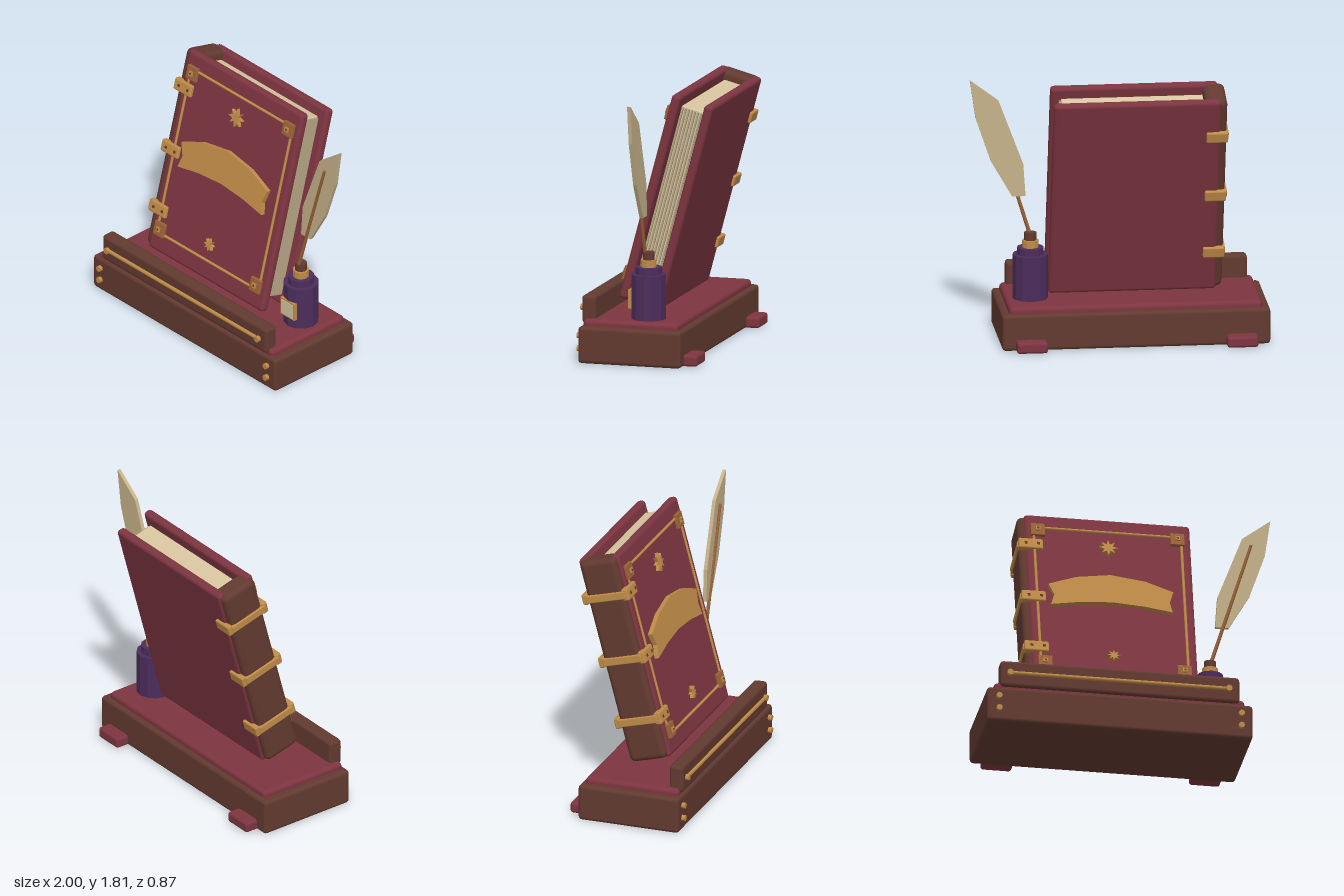
import * as THREE from 'three';
import { RoundedBoxGeometry } from 'three/addons/geometries/RoundedBoxGeometry.js';

export function createModel() {
  const mat = (name, color, opts = {}) => {
    const m = new THREE.MeshStandardMaterial({ color, ...opts });
    m.name = name;
    return m;
  };
  const red = mat('burgundy leather', 0x7d3540);
  const brown = mat('dark brown', 0x623a30);
  const gold = mat('gold', 0xc08c48);
  const bronze = mat('bronze', 0x9a6238);
  const ink = mat('violet glass', 0x4c2d5c, { flatShading: true });
  const paper = mat('paper', 0xd8c5a0);
  const pageLine = mat('page edge', 0xb3a382);
  const plume = mat('plume', 0xc6b28a);

  const model = new THREE.Group();
  model.name = 'bookOnStand';

  const add = (parent, name, geo, material, x = 0, y = 0, z = 0) => {
    const m = new THREE.Mesh(geo, material);
    m.name = name;
    m.position.set(x, y, z);
    parent.add(m);
    return m;
  };
  // Box given by its minimum and maximum corners, with an optional bevel
  const box = (parent, name, material, [x0, y0, z0], [x1, y1, z1], bevel = 0) => {
    const s = [x1 - x0, y1 - y0, z1 - z0];
    const geo = bevel ? new RoundedBoxGeometry(...s, 2, bevel) : new THREE.BoxGeometry(...s);
    return add(parent, name, geo, material, (x0 + x1) / 2, (y0 + y1) / 2, (z0 + z1) / 2);
  };
  // Rod between two points
  const rod = (parent, name, material, a, b, r0, r1 = r0, sides = 8) => {
    const p = new THREE.Vector3(...a), q = new THREE.Vector3(...b);
    const d = q.clone().sub(p);
    const mid = p.clone().add(q).multiplyScalar(0.5);
    const m = add(parent, name, new THREE.CylinderGeometry(r1, r0, d.length(), sides), material, mid.x, mid.y, mid.z);
    m.quaternion.setFromUnitVectors(new THREE.Vector3(0, 1, 0), d.normalize());
    return m;
  };
  // Flat outline given thickness from z upward
  const plate = (parent, name, material, points, depth, z) => {
    const shape = new THREE.Shape(points.map(([x, y]) => new THREE.Vector2(x, y)));
    return add(parent, name, new THREE.ExtrudeGeometry(shape, { depth, bevelEnabled: false }), material, 0, 0, z);
  };

  // Stand
  const stand = new THREE.Group();
  stand.name = 'stand';
  model.add(stand);
  box(stand, 'base', brown, [-1, 0, -0.31], [0.81, 0.25, 0.41], 0.025);
  box(stand, 'topMat', red, [-0.95, 0.2, -0.275], [0.76, 0.295, 0.39], 0.03);
  box(stand, 'frontLedge', brown, [-0.91, 0.26, 0.31], [0.72, 0.45, 0.41], 0.025);
  for (const x of [-0.91, 0.51]) box(stand, 'backFoot', red, [x, 0.003, -0.4], [x + 0.21, 0.08, -0.2], 0.02);
  rod(stand, 'ledgeRail', gold, [-0.85, 0.357, 0.415], [0.65, 0.357, 0.415], 0.014);
  for (const x of [-0.845, 0.645]) rod(stand, 'railEnd', gold, [x, 0.357, 0.4], [x, 0.357, 0.435], 0.022);
  for (const x of [-0.92, 0.73]) for (const y of [0.09, 0.18])
    rod(stand, 'stud', gold, [x, y, 0.4], [x, y, 0.435], 0.021);

  // Book, leaning back; local y runs up the cover and z out of it
  const book = new THREE.Group();
  book.name = 'book';
  book.position.set(0, 0.361, 0.083);
  book.rotation.x = -Math.PI / 12;
  model.add(book);
  box(book, 'frontCover', red, [-0.655, 0, 0.085], [0.475, 1.46, 0.15], 0.025);
  box(book, 'backCover', red, [-0.655, 0, -0.15], [0.475, 1.46, -0.085], 0.025);
  box(book, 'spine', brown, [-0.7, 0.005, -0.135], [-0.55, 1.455, 0.135], 0.04);
  box(book, 'pages', paper, [-0.57, 0.07, -0.08], [0.405, 1.39, 0.08], 0.008);
  for (let i = 0; i < 7; i++) {
    const z = -0.066 + i * 0.022;
    box(book, 'pageEdge', pageLine, [0.39, 0.08, z - 0.005], [0.42, 1.38, z + 0.005]);
  }

  // Cover frame with corner plates
  const [fx0, fx1, fy0, fy1] = [-0.595, 0.41, 0.135, 1.342];
  for (const y of [fy0, fy1]) rod(book, 'frameRail', gold, [fx0, y, 0.152], [fx1, y, 0.152], 0.01);
  for (const x of [fx0, fx1]) rod(book, 'frameRail', gold, [x, fy0, 0.152], [x, fy1, 0.152], 0.01);
  for (const x of [-0.568, 0.382]) for (const y of [0.165, 1.317]) {
    box(book, 'cornerPlate', bronze, [x - 0.049, y - 0.05, 0.14], [x + 0.049, y + 0.05, 0.172], 0.006);
    box(book, 'cornerBoss', gold, [x - 0.016, y - 0.016, 0.17], [x + 0.016, y + 0.016, 0.183]);
    box(book, 'cornerPin', brown, [x - 0.007, y - 0.007, 0.18], [x + 0.007, y + 0.007, 0.185]);
  }

  // Eight-pointed stars
  const star = (x, y, r) => plate(book, 'star', gold, Array.from({ length: 16 }, (_, i) => {
    const a = i * Math.PI / 8, k = i % 2 ? r * 0.45 : r;
    return [x + k * Math.sin(a), y + k * Math.cos(a)];
  }), 0.03, 0.145);
  star(-0.094, 1.195, 0.066);
  star(-0.098, 0.256, 0.045);

  // Arched banner with notched ends
  plate(book, 'banner', gold, [
    [-0.52, 0.833], [-0.484, 0.743], [-0.51, 0.657], [-0.313, 0.693], [-0.093, 0.71], [0.126, 0.693],
    [0.32, 0.66], [0.302, 0.743], [0.33, 0.838], [0.142, 0.913], [-0.093, 0.948], [-0.33, 0.91],
  ], 0.035, 0.147);

  // Straps wrapped around the spine
  for (const y of [0.295, 0.735, 1.19]) {
    box(book, 'strapFront', gold, [-0.705, y - 0.043, 0.125], [-0.537, y + 0.043, 0.172], 0.012);
    box(book, 'strapSpine', gold, [-0.712, y - 0.028, -0.14], [-0.685, y + 0.028, 0.15], 0.008);
    box(book, 'strapBack', gold, [-0.705, y - 0.038, -0.17], [-0.56, y + 0.038, -0.13], 0.01);
    for (const x of [-0.655, -0.57])
      box(book, 'strapScrew', brown, [x - 0.009, y - 0.009, 0.168], [x + 0.009, y + 0.009, 0.176]);
  }

  // Ink bottle, stacked in tiers
  const bottle = new THREE.Group();
  bottle.name = 'inkBottle';
  bottle.position.set(0.592, 0, 0);
  model.add(bottle);
  bottle.position.z = -0.024;
  const goldTier = mat('gold collar', 0xc08c48, { flatShading: true });
  const brownTier = mat('stopper brown', 0x623a30, { flatShading: true });
  for (const [name, m, r, y0, y1] of [
    ['bottleBody', ink, 0.12, 0.29, 0.6], ['bottleShoulder', ink, 0.09, 0.59, 0.647],
    ['bottleCollar', goldTier, 0.055, 0.64, 0.697], ['stopper', brownTier, 0.041, 0.69, 0.75],
  ]) add(bottle, name, new THREE.CylinderGeometry(r, r, y1 - y0, 12), m, 0, (y0 + y1) / 2, 0);
  box(bottle, 'labelFrame', gold, [-0.068, 0.365, 0.1], [0.068, 0.495, 0.124]);
  box(bottle, 'label', paper, [-0.057, 0.376, 0.12], [0.057, 0.484, 0.128]);

  // Quill
  const quill = new THREE.Group();
  quill.name = 'quill';
  model.add(quill);
  rod(quill, 'quillShaft', bronze, [0.59, 0.72, 0], [0.865, 1.62, 0.012], 0.013, 0.01);
  plate(quill, 'feather', plume, [
    [0.623, 1.0], [0.714, 1.0], [0.858, 1.25], [0.96, 1.55], [0.998, 1.814], [0.805, 1.668], [0.639, 1.225],
  ], 0.025, -0.022);

  return model;
}
